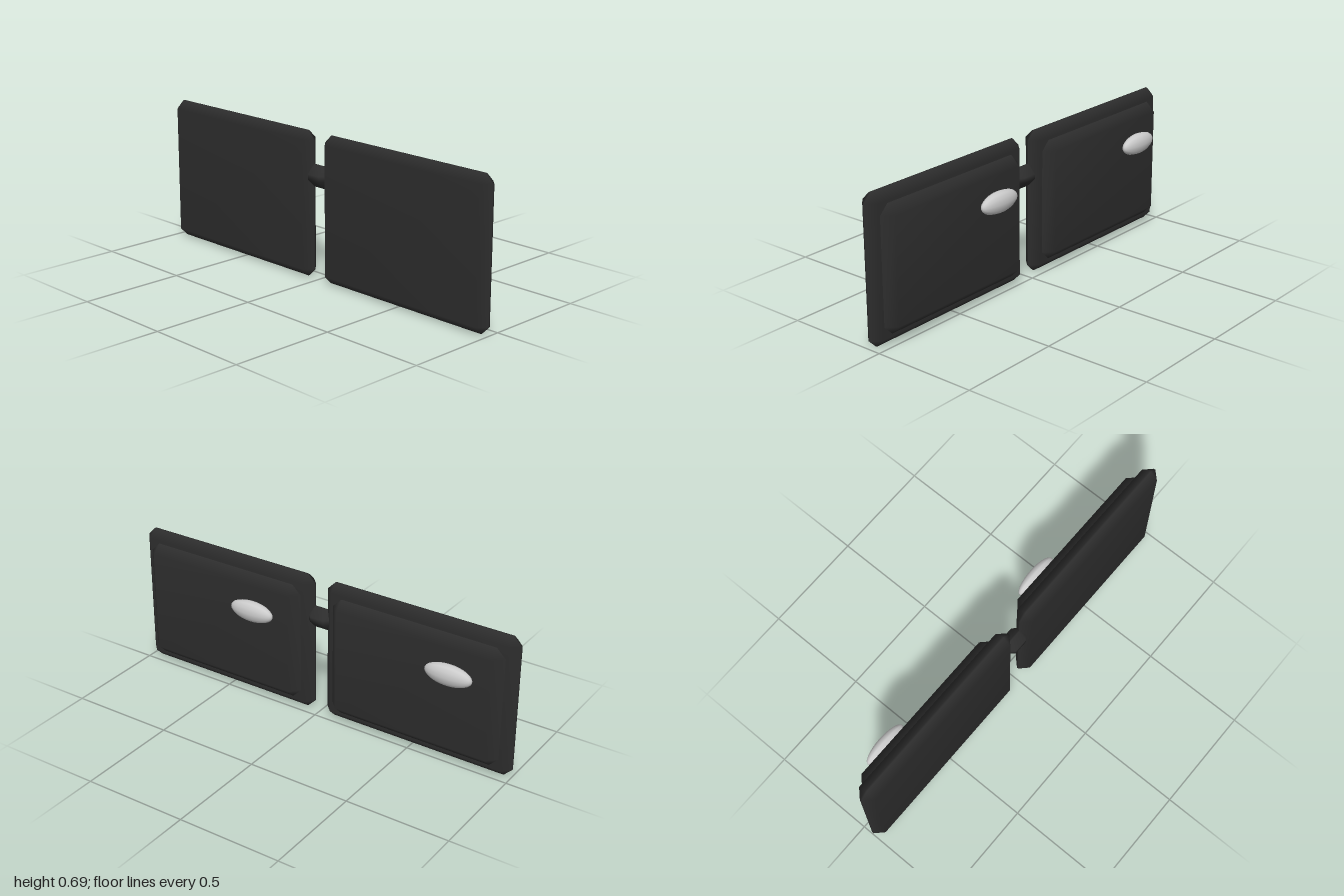
import * as THREE from 'three';
import { mergeVertices } from 'three/addons/utils/BufferGeometryUtils.js';
import { ConvexGeometry } from 'three/addons/geometries/ConvexGeometry.js';

// Box with every edge and corner cut by one flat bevel, smooth shaded
function bevelledBox(w, h, d, b) {
  const x = w / 2, y = h / 2, z = d / 2;
  const points = [];
  for (const sx of [-1, 1]) for (const sy of [-1, 1]) for (const sz of [-1, 1]) {
    points.push(
      new THREE.Vector3(sx * x, sy * (y - b), sz * (z - b)),
      new THREE.Vector3(sx * (x - b), sy * y, sz * (z - b)),
      new THREE.Vector3(sx * (x - b), sy * (y - b), sz * z));
  }
  let geometry = new ConvexGeometry(points);
  geometry.deleteAttribute('normal');
  geometry = mergeVertices(geometry, 1e-4);
  geometry.computeVertexNormals();
  return geometry;
}

export function createModel() {
  const model = new THREE.Group();
  const black = new THREE.MeshStandardMaterial({ color: 0x2d2d2d });
  black.name = 'black';
  const silver = new THREE.MeshStandardMaterial({ color: 0xcccccc });
  silver.name = 'silver';

  function add(name, geometry, material, x, y, z) {
    const mesh = new THREE.Mesh(geometry, material);
    mesh.name = name;
    mesh.position.set(x, y, z);
    model.add(mesh);
    return mesh;
  }

  const panel = bevelledBox(0.965, 0.69, 0.086, 0.039);
  const backPad = bevelledBox(0.862, 0.585, 0.09, 0.044);

  // Knob: flattened ball with its poles along x
  const knob = new THREE.SphereGeometry(1, 12, 16);
  knob.rotateZ(Math.PI / 2);
  knob.scale(0.115, 0.051, 0.035);

  for (const [side, s] of [['left', 1], ['right', -1]]) {
    add(side + 'Panel', panel, black, s * 0.5175, 0.345, 0.057);
    add(side + 'BackPad', backPad, black, s * 0.519, 0.345, 0.015);
    // Both knobs are shifted towards -x on their panels
    add(side + 'Knob', knob, silver, s * 0.515 - 0.21, 0.485, -0.065);
  }

  // Bridge joining the panels
  add('bridge', bevelledBox(0.15, 0.104, 0.086, 0.04), black, 0, 0.488, 0.057);

  return model;
}
